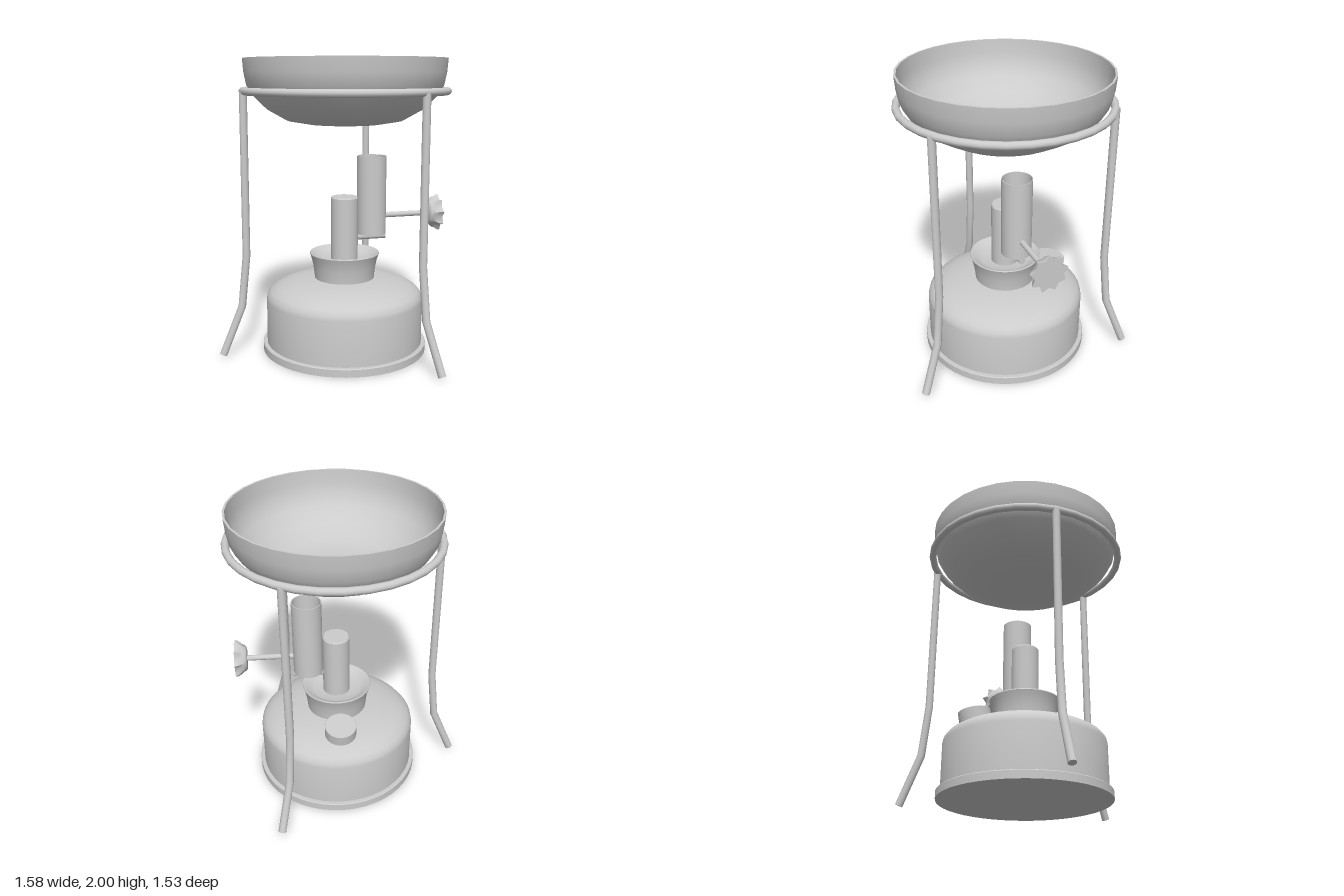
import * as THREE from 'three';
import { toCreasedNormals } from 'three/addons/utils/BufferGeometryUtils.js';

const AXIS_X = 0.086; // tank, ring and bowl share this vertical axis
const material = new THREE.MeshStandardMaterial({ color: 0xcccccc, side: THREE.DoubleSide });

function addMesh(parent, name, geometry, x = 0, y = 0, z = 0) {
  const mesh = new THREE.Mesh(geometry, material);
  mesh.name = name;
  mesh.position.set(x, y, z);
  parent.add(mesh);
  return mesh;
}

// Turned part from [radius, height] pairs
function turned(profile, segments, crease = 0.5) {
  const points = profile.map(([r, y]) => new THREE.Vector2(r, y));
  return toCreasedNormals(new THREE.LatheGeometry(points, segments), crease);
}

// Skin over equal-sized rings of Vector3, with both ends capped
function loft(rings, crease) {
  const n = rings[0].length;
  const positions = rings.flat().flatMap((p) => p.toArray());
  const index = [];
  for (let i = 0; i < rings.length - 1; i++) {
    for (let j = 0; j < n; j++) {
      const a = i * n + j, b = i * n + (j + 1) % n;
      index.push(a, b, a + n, b, b + n, a + n);
    }
  }
  [rings[0], rings[rings.length - 1]].forEach((ring, end) => {
    const centre = new THREE.Vector3();
    ring.forEach((p) => centre.addScaledVector(p, 1 / n));
    const c = positions.length / 3;
    const start = end ? (rings.length - 1) * n : 0;
    positions.push(...centre.toArray());
    for (let j = 0; j < n; j++) {
      const a = start + j, b = start + (j + 1) % n;
      index.push(c, end ? a : b, end ? b : a);
    }
  });
  const geometry = new THREE.BufferGeometry();
  geometry.setAttribute('position', new THREE.Float32BufferAttribute(positions, 3));
  geometry.setIndex(index);
  return toCreasedNormals(geometry, crease);
}

// Bent rod in the xy plane with mitred corners
function bentRod(path, radius, sides = 12) {
  const pts = path.map(([x, y]) => new THREE.Vector2(x, y));
  const steps = pts.slice(1).map((p, i) => p.clone().sub(pts[i]).normalize());
  const rings = pts.map((p, i) => {
    const tIn = steps[Math.max(i - 1, 0)];
    const tOut = steps[Math.min(i, steps.length - 1)];
    const t = tIn.clone().add(tOut).normalize();
    const stretch = radius / t.dot(tIn);
    return Array.from({ length: sides }, (_, j) => {
      const a = (j / sides) * Math.PI * 2;
      const s = Math.sin(a) * stretch;
      return new THREE.Vector3(p.x + t.y * s, p.y - t.x * s, Math.cos(a) * radius);
    });
  });
  return loft(rings, 0.6);
}

// Scalloped wheel along x from [x, tip radius, notch radius] stations
function starWheel(stations, tips) {
  return loft(stations.map(([x, tip, notch]) =>
    Array.from({ length: tips * 2 }, (_, j) => {
      const a = (j / tips) * Math.PI;
      const r = j % 2 ? notch : tip;
      return new THREE.Vector3(x, Math.cos(a) * r, Math.sin(a) * r);
    })), 1.0);
}

export function createModel() {
  const model = new THREE.Group();
  model.name = 'campStove';

  // Fuel tank with foot rim and domed shoulder
  addMesh(model, 'tankFoot', turned([
    [0, 0], [0.57, 0], [0.57, 0.05], [0.565, 0.055], [0.53, 0.055],
  ], 48), AXIS_X);
  addMesh(model, 'fuelTank', turned([
    [0.542, 0.05], [0.542, 0.36], [0.536, 0.39], [0.512, 0.42], [0.465, 0.448],
    [0.4, 0.472], [0.31, 0.491], [0.2, 0.505], [0, 0.508],
  ], 48), AXIS_X);

  // Flared priming cup with a shallow dish, and central column
  addMesh(model, 'primingCup', turned([
    [0.205, 0.49], [0.208, 0.53], [0.216, 0.59], [0.227, 0.64], [0.241, 0.678],
    [0.237, 0.685], [0.228, 0.682], [0.195, 0.655], [0.16, 0.64], [0.09, 0.635],
  ], 32), AXIS_X);
  addMesh(model, 'column', turned([
    [0.093, 0.5], [0.093, 1.062], [0.086, 1.072], [0, 1.072],
  ], 32), AXIS_X);

  // Filler cap sitting square on the sloping shoulder
  const filler = new THREE.Group();
  filler.name = 'filler';
  filler.position.set(AXIS_X, 0.495, -0.335);
  filler.rotation.x = -0.18;
  model.add(filler);
  addMesh(filler, 'fillerNeck', new THREE.CylinderGeometry(0.075, 0.075, 0.06, 24), 0, -0.02);
  addMesh(filler, 'fillerCap', turned([
    [0, 0], [0.108, 0], [0.108, 0.08], [0.104, 0.084], [0, 0.084],
  ], 24));

  // Open burner tube, carried by a short feed pipe
  addMesh(model, 'burnerTube', turned([
    [0.101, 0.803], [0.101, 1.345], [0.096, 1.345], [0.096, 0.803], [0.101, 0.803],
  ], 32), 0.28);
  const feed = addMesh(model, 'feedPipe', new THREE.CylinderGeometry(0.023, 0.023, 0.22, 16), 0.27, 0.785);
  feed.rotation.z = Math.PI / 2;

  // Valve stem and scalloped knob
  const stem = addMesh(model, 'valveStem', new THREE.CylinderGeometry(0.019, 0.019, 0.34, 16), 0.54, 0.928);
  stem.rotation.z = Math.PI / 2;
  addMesh(model, 'valveKnob', starWheel([
    [0.695, 0.078, 0.07], [0.705, 0.089, 0.079], [0.725, 0.1, 0.086],
    [0.745, 0.118, 0.094], [0.758, 0.126, 0.098], [0.775, 0.129, 0.1],
  ], 9), 0, 0.928);

  // Three splayed legs and the ring they carry
  const legPath = [[0.855, 0.018], [0.72, 0.35], [0.684, 0.7], [0.684, 1.786]];
  for (let i = 0; i < 3; i++) {
    const leg = addMesh(model, 'leg', bentRod(legPath, 0.026), AXIS_X);
    leg.rotation.y = Math.PI / 3 + (i * Math.PI * 2) / 3;
  }
  const ring = addMesh(model, 'supportRing', new THREE.TorusGeometry(0.68, 0.025, 12, 32), AXIS_X, 1.787);
  ring.rotation.x = Math.PI / 2;

  // Thin bowl resting in the ring
  addMesh(model, 'bowl', turned([
    [0, 1.568], [0.25, 1.568], [0.39, 1.592], [0.52, 1.665], [0.612, 1.755], [0.655, 1.825],
    [0.672, 1.91], [0.679, 2], [0.665, 2], [0.658, 1.912], [0.641, 1.832], [0.6, 1.765],
    [0.511, 1.677], [0.385, 1.606], [0.249, 1.582], [0, 1.582],
  ], 32, 0.7), AXIS_X);

  return model;
}
